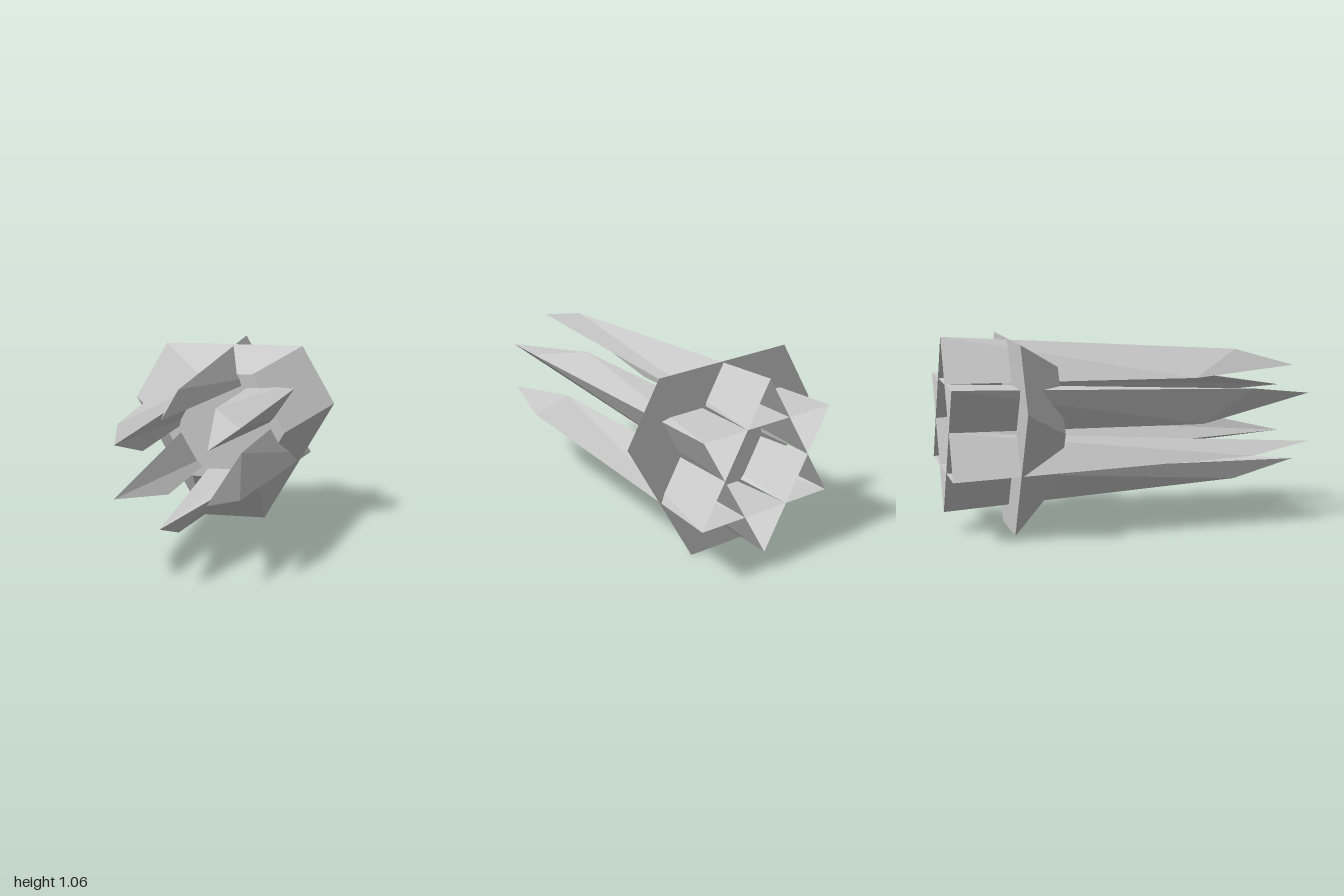
import * as THREE from 'three';

const AXIS_Y = 0.586;

// Flat-faced geometry from convex polygons, corners counter-clockwise from outside
function facets(polygons) {
  const pos = [];
  for (const p of polygons) {
    for (let i = 1; i < p.length - 1; i++) pos.push(...p[0], ...p[i], ...p[i + 1]);
  }
  const g = new THREE.BufferGeometry();
  g.setAttribute('position', new THREE.Float32BufferAttribute(pos, 3));
  g.computeVertexNormals();
  return g;
}

// Flared collar: two six-sided rings, from a pair of corners turned three times
function collarGeometry() {
  const ring = (x, y, z) => {
    const pts = [];
    for (let i = 0; i < 3; i++) {
      const a = i * Math.PI * 2 / 3, c = Math.cos(a), s = Math.sin(a);
      for (const px of [x, -x]) pts.push([px * c - y * s, px * s + y * c, z]);
    }
    return pts;
  };
  const back = ring(0.41, 0.459, -0.645);
  const front = ring(0.16, 0.314, -0.4);
  const faces = [front, [...back].reverse()];
  for (let i = 0; i < 6; i++) {
    const j = (i + 1) % 6;
    faces.push([back[i], back[j], front[j], front[i]]);
  }
  return facets(faces);
}

// Long three-sided blade, hollow at the back, cut to a skewed point at the front
function bladeGeometry() {
  const leftBack = [-0.137, 0.237, -1], leftFront = [-0.14, 0.229, 0.38];
  const rightBack = [0.137, 0.237, -1];
  const ridgeBack = [0, 0.474, -1], ridgeFront = [0, 0.369, 0.65];
  const tip = [0.005, 0.269, 1];
  return facets([
    [leftBack, rightBack, tip, leftFront],
    [rightBack, ridgeBack, ridgeFront, tip],
    [ridgeBack, leftBack, leftFront, ridgeFront],
    [ridgeFront, leftFront, tip],
  ]);
}

export function createModel() {
  const model = new THREE.Group();
  model.name = 'bladeCluster';
  const material = new THREE.MeshStandardMaterial({
    color: 0xcccccc, flatShading: true, side: THREE.DoubleSide,
  });

  const collar = new THREE.Mesh(collarGeometry(), material);
  collar.name = 'collar';
  collar.position.y = AXIS_Y;
  model.add(collar);

  // Six blades around the axis
  const blades = new THREE.Group();
  blades.name = 'blades';
  blades.position.y = AXIS_Y;
  const geometry = bladeGeometry();
  for (let i = 0; i < 6; i++) {
    const blade = new THREE.Mesh(geometry, material);
    blade.name = `blade${i + 1}`;
    blade.rotation.z = i * Math.PI / 3;
    blades.add(blade);
  }
  model.add(blades);
  return model;
}
